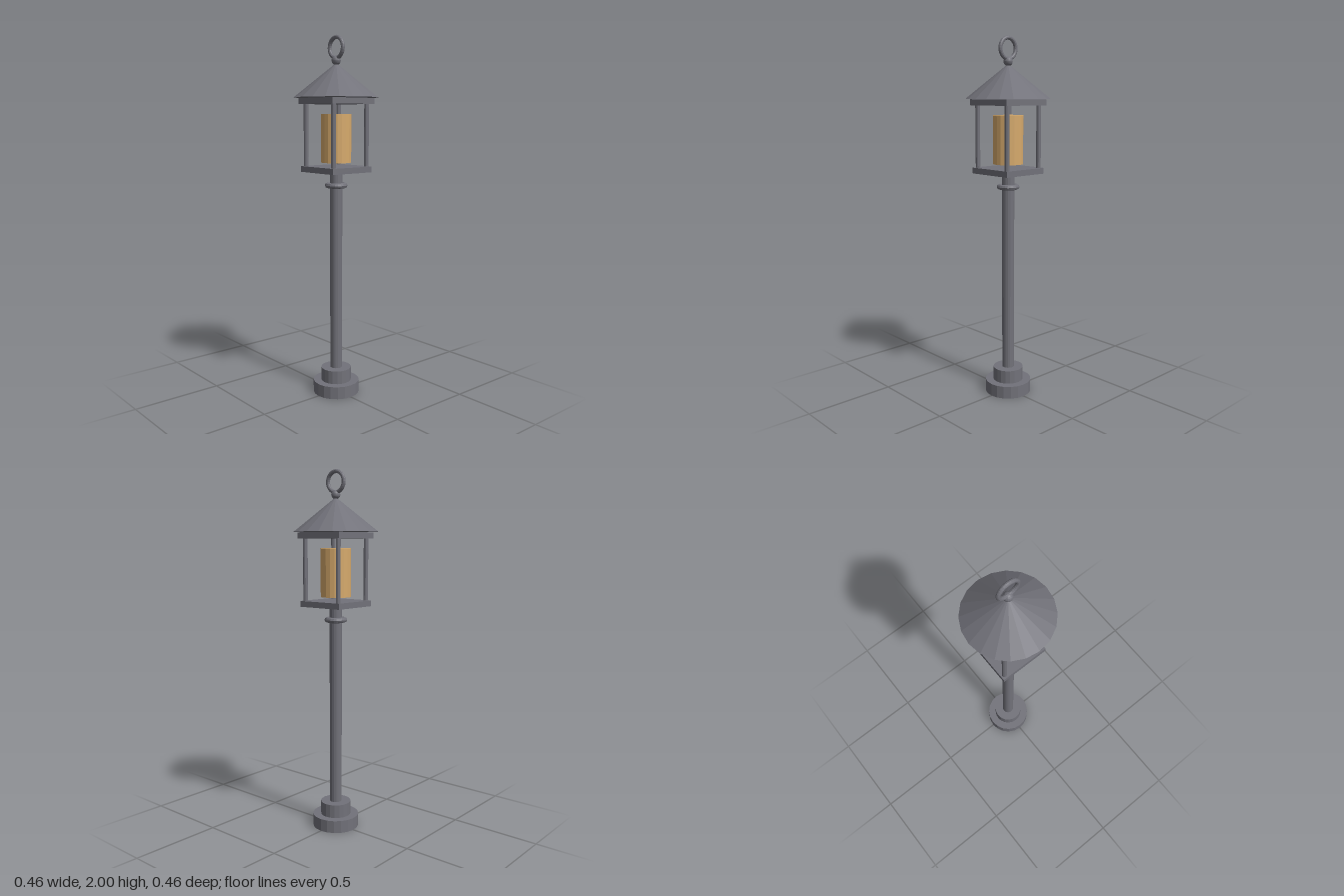
import * as THREE from 'three';

const metal = new THREE.MeshStandardMaterial({ color: 0x72727a });
metal.name = 'grey metal';
const glow = new THREE.MeshStandardMaterial({ color: 0xd6aa6c });
glow.name = 'warm lamp';

// Faceted normals for the low-poly parts
function faceted(geometry) {
  const flat = geometry.toNonIndexed();
  flat.computeVertexNormals();
  return flat;
}

export function createModel() {
  const model = new THREE.Group();
  model.name = 'lampPost';

  function add(name, geometry, x, y, z, material = metal) {
    const mesh = new THREE.Mesh(faceted(geometry), material);
    mesh.name = name;
    mesh.position.set(x, y, z);
    model.add(mesh);
    return mesh;
  }

  // Upright cylinder between two heights
  function column(name, radius, y0, y1, sides, x = 0, z = 0, material = metal) {
    const geometry = new THREE.CylinderGeometry(radius, radius, y1 - y0, sides);
    return add(name, geometry, x, (y0 + y1) / 2, z, material);
  }

  // Stepped foot and pole
  column('foot', 0.13, 0, 0.07, 20);
  column('footStep', 0.085, 0.07, 0.145, 20);
  column('pole', 0.034, 0.145, 1.267, 16);
  add('collar', new THREE.TorusGeometry(0.048, 0.015, 8, 24), 0, 1.192, 0).rotation.x = Math.PI / 2;

  // Lantern cage
  add('cageFloor', new THREE.BoxGeometry(0.276, 0.032, 0.276), 0, 1.281, 0);
  add('cageTop', new THREE.BoxGeometry(0.292, 0.032, 0.292), 0, 1.651, 0);
  for (const x of [-0.117, 0.117]) {
    for (const z of [-0.117, 0.117]) column('cagePost', 0.013, 1.295, 1.637, 10, x, z);
  }
  column('lamp', 0.083, 1.318, 1.582, 20, 0, 0, glow);

  // Roof, finial ball and hanging ring
  add('roof', new THREE.ConeGeometry(0.231, 0.183, 20), 0, 1.7615, 0);
  add('finialBall', new THREE.SphereGeometry(0.025, 14, 10), 0, 1.866, 0);
  add('hangingRing', new THREE.TorusGeometry(0.055, 0.011, 10, 28), 0, 1.934, 0);

  return model;
}
